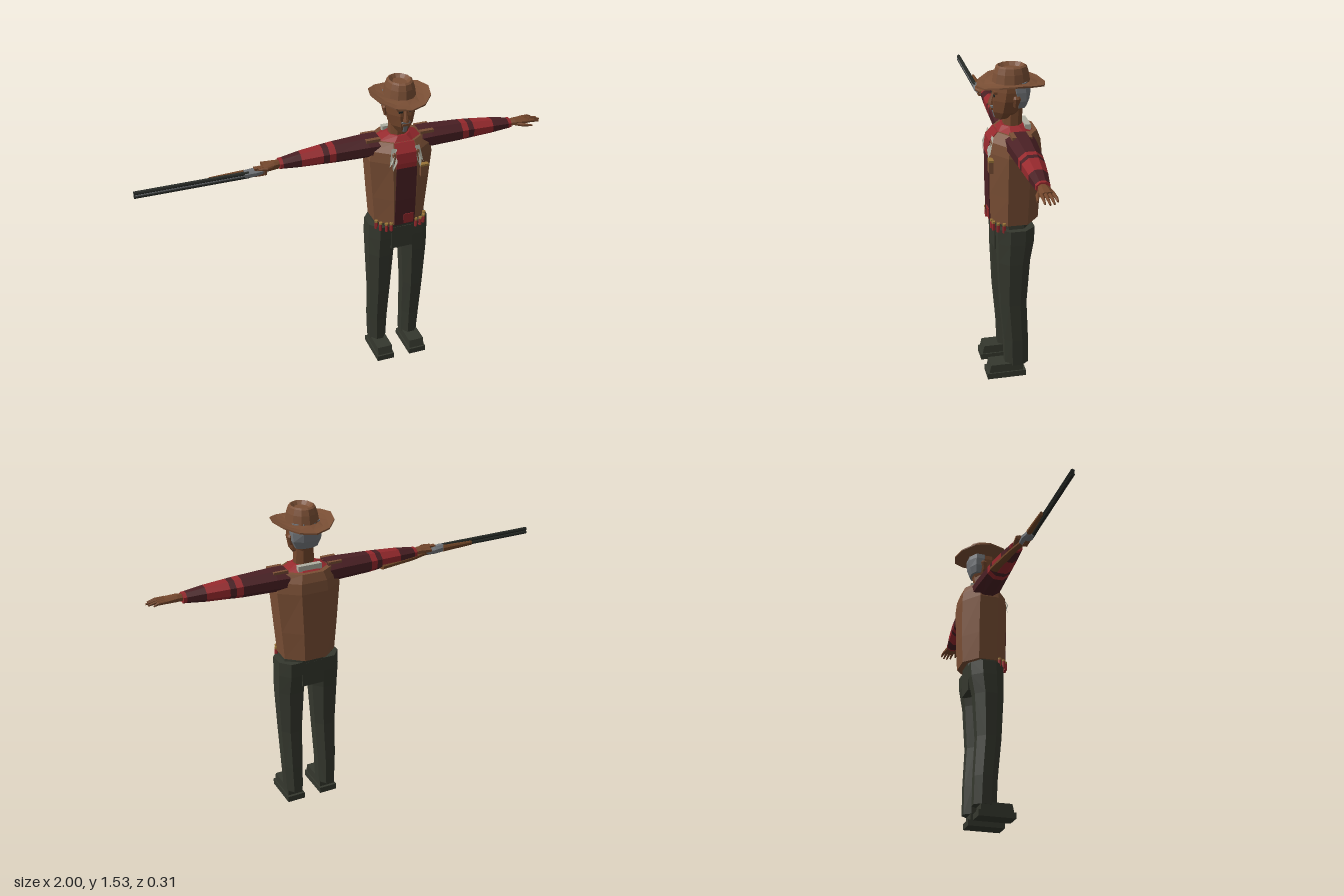
import * as THREE from 'three';

const mat = (name, color) => new THREE.MeshStandardMaterial({ name, color, flatShading: true });

// Flat-shaded loft through rings of points, closed at both ends
function loft(rings) {
  const v = [], n = rings[0].length;
  const tri = (...p) => p.forEach(q => v.push(q.x, q.y, q.z));
  const mid = r => r.reduce((s, p) => s.add(p), new THREE.Vector3()).divideScalar(n);
  const a = mid(rings[0]), b = mid(rings.at(-1));
  for (let j = 0; j < n; j++) {
    const k = (j + 1) % n;
    tri(a, rings[0][j], rings[0][k]);
    tri(b, rings.at(-1)[k], rings.at(-1)[j]);
    for (let i = 0; i + 1 < rings.length; i++) {
      const r = rings[i], u = rings[i + 1];
      tri(r[j], u[j], r[k]);
      tri(u[j], u[k], r[k]);
    }
  }
  return fromArray(v);
}

function fromArray(v) {
  const g = new THREE.BufferGeometry();
  g.setAttribute('position', new THREE.Float32BufferAttribute(v, 3));
  g.computeVertexNormals();
  return g;
}

// Fan polygon, corners counter-clockwise from outside
function poly(pts) {
  const v = [];
  for (let i = 1; i + 1 < pts.length; i++) v.push(...pts[0], ...pts[i], ...pts[i + 1]);
  return fromArray(v);
}

// Eight-sided ring with flats facing the axes
function octagon(map) {
  const s = 1 / Math.cos(Math.PI / 8);
  return Array.from({ length: 8 }, (_, i) => {
    const a = (i + 0.5) * Math.PI / 4;
    return map(Math.cos(a) * s, Math.sin(a) * s);
  });
}

// Upright section: height, left x, right x, back z, front z
const upright = rows => loft(rows.map(([y, x0, x1, z0, z1]) => octagon((c, s) =>
  new THREE.Vector3((x0 + x1) / 2 + c * (x1 - x0) / 2, y, (z0 + z1) / 2 + s * (z1 - z0) / 2))));

// Sideways section: x, centre y, centre z, half height, half depth
const sideways = rows => loft(rows.map(([x, y, z, ry, rz]) => octagon((c, s) =>
  new THREE.Vector3(x, y + s * ry, z + c * rz))));

const box = (w, h, d, x, y, z) => new THREE.BoxGeometry(w, h, d).translate(x, y, z);

// Mirror across x and restore the corner order
function mirror(geo) {
  const g = geo.index ? geo.toNonIndexed() : geo.clone();
  const p = g.attributes.position.array;
  for (let i = 0; i < p.length; i += 9) {
    for (let k = 0; k < 3; k++) [p[i + 3 + k], p[i + 6 + k]] = [p[i + 6 + k], p[i + 3 + k]];
    for (let k = 0; k < 9; k += 3) p[i + k] *= -1;
  }
  g.computeVertexNormals();
  return g;
}

export function createModel() {
  const brown = mat('vestBrown', 0x7a4f35), skin = mat('skin', 0x74472c);
  const olive = mat('trouserOlive', 0x35382e), dark = mat('shirtMaroon', 0x4a2024);
  const red = mat('shirtRed', 0x96292d), grey = mat('grey', 0x73767a);
  const white = mat('offWhite', 0xb0b0a2), metal = mat('gunmetal', 0x262925);
  const wood = mat('gunWood', 0x6e4426), brass = mat('brass', 0x9a7438);

  const model = new THREE.Group();
  model.name = 'ranchHand';
  const body = new THREE.Group();
  body.name = 'body';
  body.position.x = 0.255;
  model.add(body);
  const add = (name, geo, m) => {
    const mesh = new THREE.Mesh(geo, m);
    mesh.name = name;
    body.add(mesh);
  };
  const pair = (name, geo, m) => {
    add(name + 'Left', geo, m);
    add(name + 'Right', mirror(geo), m);
  };

  // Legs, hips and shoes
  pair('trouserLeg', upright([
    [0.06, 0.045, 0.13, -0.068, 0.045], [0.2, 0.042, 0.137, -0.066, 0.05],
    [0.4, 0.035, 0.143, -0.056, 0.068], [0.62, 0.022, 0.153, -0.07, 0.078],
    [0.72, 0.01, 0.154, -0.088, 0.08], [0.79, 0.01, 0.152, -0.09, 0.08]]), olive);
  add('waist', upright([[0.74, -0.13, 0.13, -0.088, 0.078], [0.83, -0.12, 0.12, -0.09, 0.088]]), olive);
  add('crotch', box(0.11, 0.12, 0.175, 0, 0.722, -0.002), olive);
  pair('shoeSole', box(0.09, 0.03, 0.187, 0.088, 0.015, 0.041), olive);
  const upper = new THREE.BoxGeometry(0.078, 0.045, 0.165);
  const up = upper.attributes.position;
  for (let i = 0; i < up.count; i++) if (up.getY(i) > 0 && up.getZ(i) > 0) up.setZ(i, 0.073);
  pair('shoeUpper', upper.translate(0.088, 0.049, 0.044), olive);

  // Vest, yoke and shirt front
  add('vest', upright([
    [0.81, -0.128, 0.128, -0.118, 0.104], [0.95, -0.14, 0.14, -0.125, 0.108],
    [1.15, -0.157, 0.157, -0.127, 0.11], [1.2, -0.15, 0.15, -0.122, 0.104],
    [1.24, -0.125, 0.125, -0.108, 0.07]]), brown);
  add('yoke', upright([[1.235, -0.115, 0.115, -0.095, 0.07], [1.262, -0.05, 0.05, -0.055, 0.045]]), red);
  pair('shoulderFlap', box(0.07, 0.014, 0.09, 0.135, 1.247, -0.015), brown);
  const strip = (x0, x1, rows) => loft(rows.map(([y, z]) => [[x1, z - 0.008], [x1, z], [x0, z], [x0, z - 0.008]]
    .map(([x, zz]) => new THREE.Vector3(x, y, zz))));
  add('shirtFront', strip(-0.05, 0.053, [[0.81, 0.108], [0.95, 0.112], [1.125, 0.114]]), dark);
  add('shirtPatch', strip(-0.005, 0.045, [[0.815, 0.111], [0.867, 0.113]]), red);
  add('shirtChest', strip(-0.05, 0.05, [[1.125, 0.114], [1.15, 0.114], [1.2, 0.108], [1.24, 0.074]]), red);
  pair('neckerchief', poly([[0.045, 1.225, 0.095], [0.05, 1.16, 0.118], [0.07, 1.115, 0.115],
    [0.074, 1.16, 0.116], [0.086, 1.14, 0.112], [0.07, 1.225, 0.092]]), white);
  add('backCollar', box(0.115, 0.026, 0.026, 0, 1.256, -0.066), white);
  pair('armholeGap', poly([[0.158, 1.13, 0.006], [0.158, 1.13, -0.037], [0.15, 1.0, -0.015], [0.144, 0.91, -0.002]]), dark);
  pair('armholeTrim', poly([[0.151, 1.02, 0.006], [0.151, 1.02, -0.012], [0.143, 0.92, -0.004]]), red);
  add('pocket', box(0.038, 0.055, 0.02, 0.09, 1.095, 0.11), brown);
  add('pocketTrim', box(0.04, 0.01, 0.022, 0.09, 1.125, 0.11), brass);

  // Cartridges around the belt
  const spots = [[0.064, 0.1], [0.088, 0.097], [0.112, 0.08], [0.125, 0.055]];
  for (const [x, z] of spots) {
    pair('cartridge', new THREE.CylinderGeometry(0.008, 0.008, 0.036, 6).translate(x, 0.797, z), red);
    pair('cartridgeCap', new THREE.CylinderGeometry(0.009, 0.009, 0.01, 6).translate(x, 0.819, z), brass);
  }

  // Sleeves split into plain and bright bands
  const arm = [[0.1, 1.203, -0.018, 0.051, 0.066], [0.16, 1.205, -0.018, 0.05, 0.064],
    [0.32, 1.203, -0.016, 0.045, 0.054], [0.352, 1.203, -0.015, 0.043, 0.052],
    [0.38, 1.203, -0.014, 0.041, 0.05], [0.485, 1.201, -0.01, 0.034, 0.041],
    [0.57, 1.199, -0.006, 0.024, 0.031], [0.586, 1.199, -0.006, 0.023, 0.03]];
  const bright = [2, 4, 6];
  for (let i = 0; i + 1 < arm.length; i++)
    pair(bright.includes(i) ? 'sleeveBand' : 'sleeve', sideways([arm[i], arm[i + 1]]), bright.includes(i) ? red : dark);

  // Hands: open on the left, closed around the gun on the right
  pair('palm', sideways([[0.575, 1.2, -0.005, 0.014, 0.018], [0.61, 1.202, -0.003, 0.016, 0.026],
    [0.665, 1.202, -0.004, 0.012, 0.032]]), skin);
  [0.72, 0.74, 0.745, 0.733].forEach((tip, i) => {
    const z = -0.028 + i * 0.016;
    add('finger', sideways([[0.655, 1.203, z, 0.008, 0.0075], [0.7, 1.203, z * 1.1, 0.007, 0.006],
      [tip, 1.196, z * 1.15, 0.004, 0.004]]), skin);
    add('curledFinger', box(0.013, 0.042, 0.024, -0.656 - i * 0.015, 1.188, 0.012), skin);
  });
  add('thumb', sideways([[0.61, 1.198, 0.012, 0.009, 0.01], [0.645, 1.194, 0.032, 0.008, 0.008],
    [0.69, 1.188, 0.042, 0.004, 0.004]]), skin);
  add('gripThumb', sideways([[-0.69, 1.205, 0.028, 0.005, 0.006], [-0.65, 1.203, 0.034, 0.008, 0.008],
    [-0.61, 1.2, 0.012, 0.009, 0.01]]), skin);

  // Double-barrelled gun
  for (const y of [1.177, 1.194])
    add('barrel', new THREE.CylinderGeometry(0.0095, 0.0095, 0.52, 8).rotateZ(Math.PI / 2).translate(-0.995, y, 0.022), metal);
  add('barrelRib', box(0.51, 0.006, 0.004, -0.995, 1.1855, 0.029), grey);
  add('receiver', sideways([[-0.755, 1.185, 0.015, 0.019, 0.019], [-0.7, 1.185, 0.008, 0.018, 0.026],
    [-0.645, 1.184, 0.002, 0.012, 0.016]]), grey);
  add('foreStock', sideways([[-0.915, 1.185, 0.003, 0.01, 0.008], [-0.75, 1.185, 0.002, 0.015, 0.013]]), wood);
  add('buttStock', sideways([[-0.66, 1.183, 0.002, 0.011, 0.013], [-0.57, 1.18, -0.022, 0.012, 0.016],
    [-0.38, 1.18, -0.045, 0.015, 0.03]]), wood);

  // Head, hair and face
  add('neck', upright([[1.235, -0.046, 0.046, -0.045, 0.036], [1.34, -0.042, 0.042, -0.05, 0.032]]), skin);
  add('head', upright([[1.292, -0.028, 0.028, 0.0, 0.072], [1.325, -0.052, 0.052, -0.045, 0.083],
    [1.38, -0.065, 0.065, -0.07, 0.084], [1.42, -0.066, 0.066, -0.076, 0.078],
    [1.465, -0.06, 0.06, -0.07, 0.07]]), skin);
  add('hair', upright([[1.345, -0.052, 0.052, -0.066, -0.008], [1.38, -0.068, 0.068, -0.077, 0.0],
    [1.42, -0.07, 0.07, -0.083, 0.018], [1.465, -0.066, 0.066, -0.078, 0.022]]), grey);
  add('nose', upright([[1.356, -0.015, 0.015, 0.07, 0.104], [1.366, -0.013, 0.013, 0.07, 0.102],
    [1.415, -0.006, 0.006, 0.066, 0.083]]), skin);
  add('brow', box(0.09, 0.012, 0.014, 0, 1.417, 0.077), skin);
  pair('eye', box(0.02, 0.008, 0.006, 0.025, 1.402, 0.081), metal);
  add('lips', box(0.034, 0.01, 0.014, 0, 1.338, 0.086), skin);
  add('moustache', box(0.042, 0.008, 0.009, 0, 1.349, 0.087), grey);
  add('goatee', upright([[1.296, -0.014, 0.014, 0.055, 0.077], [1.33, -0.02, 0.02, 0.055, 0.087]]), grey);
  pair('ear', upright([[1.355, 0.058, 0.07, -0.018, 0.0], [1.395, 0.06, 0.08, -0.03, 0.004],
    [1.405, 0.06, 0.074, -0.025, 0.0]]), skin);

  // Hat with a brim curled up at the sides and a dented crown
  const hat = [[0.06, 0.075, 1.442, 0], [0.11, 0.12, 1.448, 0.008], [0.143, 0.155, 1.453, 0.015],
    [0.143, 0.155, 1.46, 0.015], [0.11, 0.12, 1.458, 0.008], [0.075, 0.086, 1.46, 0],
    [0.068, 0.079, 1.5, 0], [0.059, 0.07, 1.526, 0], [0.05, 0.06, 1.532, 0], [0.032, 0.045, 1.516, 0]];
  add('hat', loft(hat.map(([rx, rz, y, curl]) => Array.from({ length: 12 }, (_, i) => {
    const a = i * Math.PI / 6;
    return new THREE.Vector3(Math.cos(a) * rx, y + curl * Math.cos(2 * a), Math.sin(a) * rz);
  }))), brown);

  return model;
}
